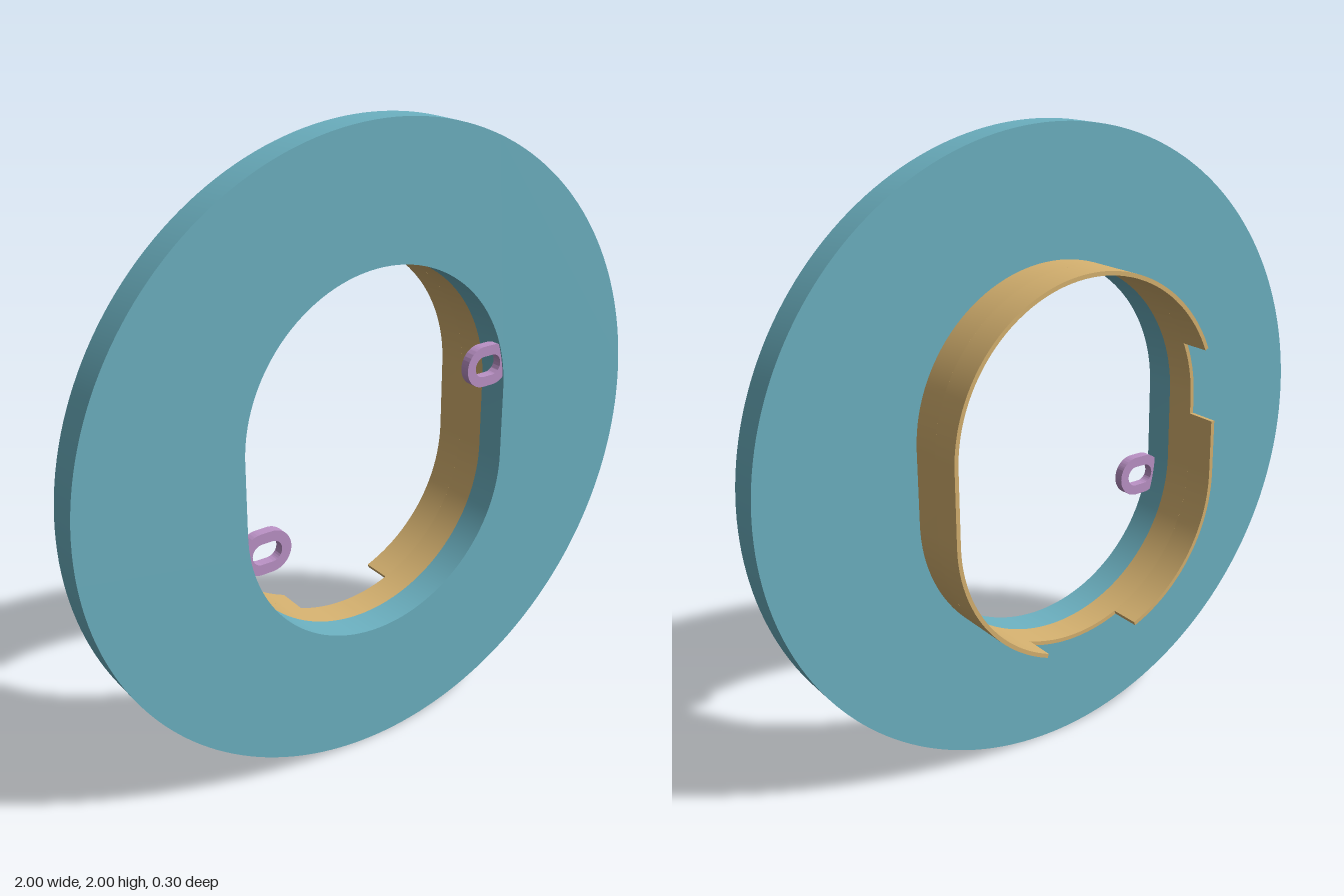
import * as THREE from 'three';
import { toCreasedNormals } from 'three/addons/utils/BufferGeometryUtils.js';

const CY = 1;          // height of the ring's centre
const OFF = 0.115;     // half length of the straight sides
const R_IN = 0.475;    // opening
const R_OUT = 0.488;   // outside of the collar
const DEG = Math.PI / 180;

// Point on an upright stadium outline, at an arc angle in degrees
function stadiumPoint(r, deg) {
  const a = deg * DEG;
  const s = Math.sin(a);
  return new THREE.Vector2(r * Math.cos(a), CY + r * s + (s >= 0 ? OFF : -OFF));
}

// Outline from one angle to another; straight sides appear where the sign of sin changes
function stadiumArc(r, from, to) {
  const n = Math.max(2, Math.ceil((to - from) / 3));
  const pts = [];
  for (let i = 0; i <= n; i++) {
    const deg = from + ((to - from) * i) / n;
    const prev = from + ((to - from) * (i - 1)) / n;
    // add both ends of a straight side when it is crossed
    for (const side of [0, 180]) {
      if (i > 0 && prev < side && deg > side) {
        const x = side === 0 ? r : -r;
        const d = side === 0 ? -OFF : OFF;
        pts.push(new THREE.Vector2(x, CY + d), new THREE.Vector2(x, CY - d));
      }
    }
    pts.push(stadiumPoint(r, deg));
  }
  return pts;
}

function closedStadium(r) {
  return stadiumArc(r, -89, 269);
}

function slab(name, shape, z0, z1, material) {
  const geo = new THREE.ExtrudeGeometry(shape, { depth: z1 - z0, bevelEnabled: false, curveSegments: 96 });
  geo.translate(0, 0, z0);
  const mesh = new THREE.Mesh(toCreasedNormals(geo, 0.5), material);
  mesh.name = name;
  return mesh;
}

// Sideways slot outline for the loops
function slot(path, x0, x1, y, r) {
  path.absarc(x0 + r, y, r, Math.PI / 2, Math.PI * 1.5, false);
  path.absarc(x1 - r, y, r, -Math.PI / 2, Math.PI / 2, false);
  path.closePath();
  return path;
}

export function createModel() {
  const teal = new THREE.MeshStandardMaterial({ color: 0x6cb1c1 });
  teal.name = 'teal';
  const tan = new THREE.MeshStandardMaterial({ color: 0xd6b270 });
  tan.name = 'tan';
  const mauve = new THREE.MeshStandardMaterial({ color: 0xbb92c6 });
  mauve.name = 'mauve';

  const model = new THREE.Group();
  model.name = 'flangedCollar';

  // Round flange with the oblong opening
  const disc = new THREE.Shape();
  disc.absarc(0, CY, 1, 0, Math.PI * 2, false);
  disc.holes.push(new THREE.Path(closedStadium(R_IN)));
  model.add(slab('flange', disc, 0.05, 0.15, teal));

  // Collar: a full band next to the flange, then two walls separated by notches
  const collar = new THREE.Group();
  collar.name = 'collar';
  const band = new THREE.Shape(closedStadium(R_OUT));
  band.holes.push(new THREE.Path(closedStadium(R_IN)));
  collar.add(slab('collarBand', band, -0.05, 0.05, tan));

  const longWall = [
    ...stadiumArc(R_OUT, -69, 157),
    ...stadiumArc(R_IN, -69, 157).reverse(),
  ];
  collar.add(slab('collarLongWall', new THREE.Shape(longWall), -0.15, -0.05, tan));

  const notchY = 1.06;
  const shortWall = [
    new THREE.Vector2(-R_OUT, notchY),
    ...stadiumArc(R_OUT, 180.01, 249),
    ...stadiumArc(R_IN, 180.01, 249).reverse(),
    new THREE.Vector2(-R_IN, notchY),
  ];
  collar.add(slab('collarShortWall', new THREE.Shape(shortWall), -0.15, -0.05, tan));
  model.add(collar);

  // Two small loops, opposite each other, rooted in the flange
  for (const side of [1, -1]) {
    const loop = slot(new THREE.Shape(), 0.328, 0.495, 0.202, 0.066);
    loop.holes.push(slot(new THREE.Path(), 0.36, 0.46, 0.202, 0.033));
    const mesh = slab(side > 0 ? 'leftLoop' : 'rightLoop', loop, 0.115, 0.146, mauve);
    mesh.position.y = CY;
    if (side < 0) {
      mesh.rotation.z = Math.PI;
      mesh.position.y = CY + 0.012;
    }
    model.add(mesh);
  }

  return model;
}
